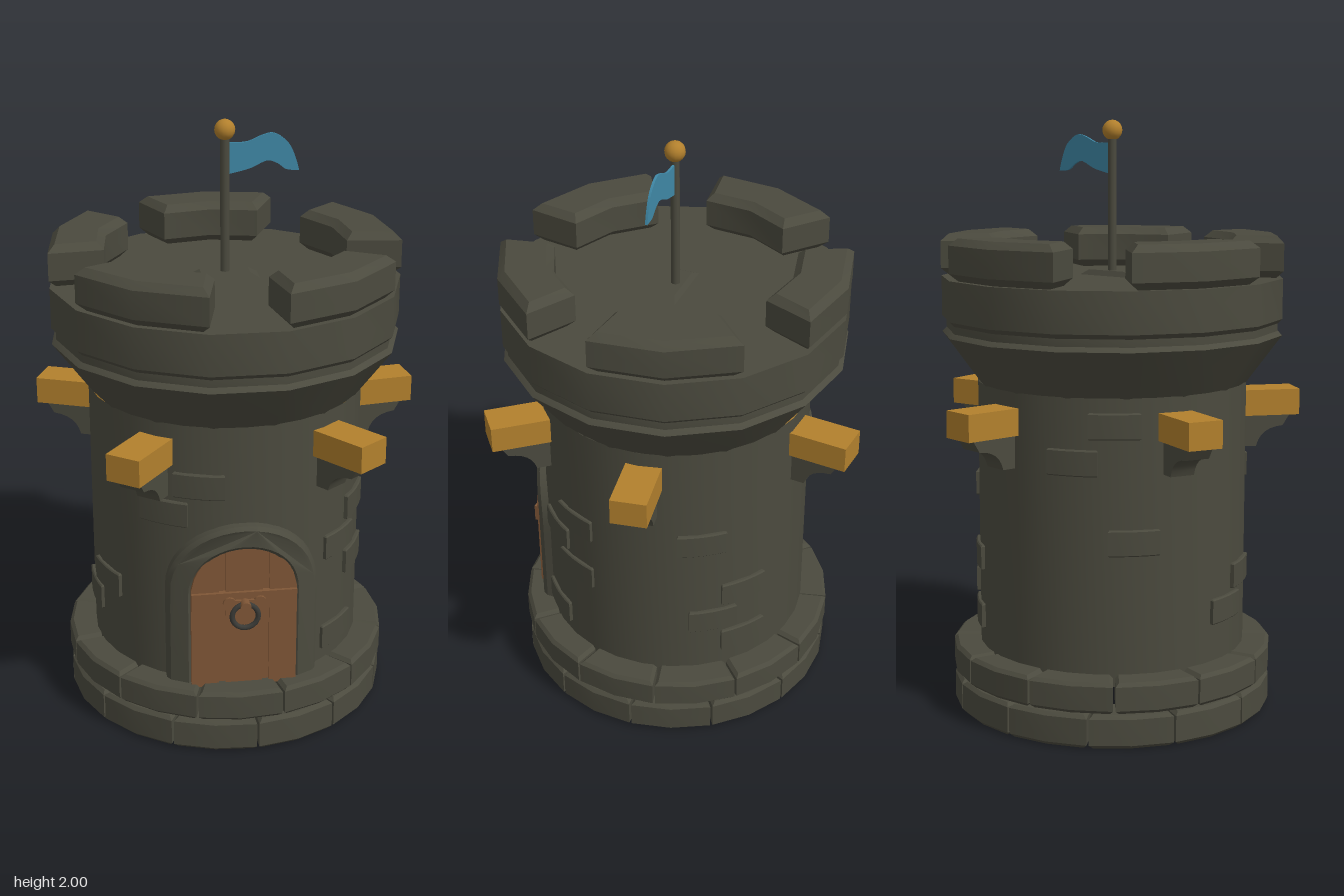
import * as THREE from 'three';
import { toCreasedNormals } from 'three/addons/utils/BufferGeometryUtils.js';

const DEG = Math.PI / 180;

function material(name, color, side = THREE.FrontSide) {
  const m = new THREE.MeshStandardMaterial({ color, side });
  m.name = name;
  return m;
}

export function createModel() {
  const stone = material('dark stone', 0x4b4a3e, THREE.DoubleSide);
  const gold = material('golden wood', 0xb2802d);
  const wood = material('door wood', 0x7f5636);
  const iron = material('dark iron', 0x3a3a36);
  const cloth = material('blue cloth', 0x3f88a6, THREE.DoubleSide);

  const root = new THREE.Group();
  root.name = 'tower';
  const tower = new THREE.Group();
  tower.name = 'towerParts';
  tower.position.set(-0.015, 0, 0.04);
  root.add(tower);

  const add = (name, geo, mat, parent = tower) => {
    const mesh = new THREE.Mesh(geo, mat);
    mesh.name = name;
    parent.add(mesh);
    return mesh;
  };
  const box = (name, w, h, d, x, y, z, mat, parent) =>
    add(name, new THREE.BoxGeometry(w, h, d), mat, parent).position.set(x, y, z);

  // Bevelled curved block; angles in degrees run from the front (+z) towards +x
  const arcBlock = (name, r0, r1, y0, y1, a0, a1, segs, bevel) => {
    const pts = [];
    const point = (r, a) => pts.push(new THREE.Vector2(r * Math.sin(a * DEG), -r * Math.cos(a * DEG)));
    for (let i = 0; i <= segs; i++) point(r1, a0 + (a1 - a0) * i / segs);
    for (let i = segs; i >= 0; i--) point(r0, a0 + (a1 - a0) * i / segs);
    const geo = new THREE.ExtrudeGeometry(new THREE.Shape(pts), {
      depth: y1 - y0 - 2 * bevel, bevelEnabled: true, bevelSegments: 1,
      bevelThickness: bevel, bevelSize: bevel, bevelOffset: -bevel,
    });
    geo.rotateX(-Math.PI / 2).translate(0, y0 + bevel, 0);
    return add(name, toCreasedNormals(geo, 0.5), stone);
  };

  // Round wall
  const lathe = (name, profile, sides) => add(name, toCreasedNormals(
    new THREE.LatheGeometry(profile.map(p => new THREE.Vector2(...p)), sides, Math.PI), 0.5), stone);
  lathe('wall', [[0.46, 0.18], [0.46, 1.13]], 30);

  // Flared head with groove, rim and roof floor
  lathe('head', [[0.455, 1.12], [0.58, 1.29], [0.565, 1.305], [0.565, 1.33],
    [0.58, 1.345], [0.58, 1.48], [0.001, 1.48]], 15);

  // Two courses of foundation blocks
  for (let i = 0; i < 12; i++) {
    const lower = 4 + i * 30, upper = 13 + i * 30;
    arcBlock('lowerFoundationBlock', 0.42, 0.55, 0, 0.112, lower + 0.4, lower + 29.6, 2, 0.012);
    arcBlock('upperFoundationBlock', 0.42, 0.553, 0.118, 0.222, upper + 0.4, upper + 29.6, 2, 0.012);
  }

  // Battlements
  for (let i = 0; i < 5; i++) {
    const a = 180 + i * 72;
    arcBlock('merlon', 0.40, 0.582, 1.48, 1.62, a - 24, a + 24, 2, 0.024);
  }

  // Raised wall bricks: angle, centre height
  const bricks = [[63, 0.745], [48, 0.643], [63, 0.543], [47, 0.308], [122, 0.76], [141, 0.53],
    [127, 0.428], [141, 0.325], [-18, 0.925], [-33, 0.822], [-67, 0.49], [-82, 0.392],
    [-137, 1.04], [-154, 0.92], [-129, 0.66]];
  for (const [a, y] of bricks)
    arcBlock('wallBrick', 0.43, 0.471, y - 0.043, y + 0.043, a - 10.5, a + 10.5, 4, 0.004);

  // Beam ends on curved stone brackets
  const profile = new THREE.Shape();
  profile.moveTo(0.43, 0.99);
  profile.lineTo(0.43, 0.88);
  profile.lineTo(0.505, 0.88);
  profile.quadraticCurveTo(0.52, 0.945, 0.6, 0.95);
  profile.lineTo(0.625, 0.99);
  const bracketGeo = toCreasedNormals(new THREE.ExtrudeGeometry(profile,
    { depth: 0.085, bevelEnabled: false, curveSegments: 6 }).translate(0, 0, -0.0425), 0.5);
  bracketGeo.rotateY(-Math.PI / 2);
  for (const a of [38, 98.2, 173.4, -111.6, -36.3]) {
    const support = new THREE.Group();
    support.name = 'beamSupport';
    support.rotation.y = a * DEG;
    tower.add(support);
    box('beamEnd', 0.12, 0.09, 0.234, 0, 1.035, 0.537, gold, support);
    add('bracket', bracketGeo, stone, support);
  }

  // Door frame, an arch wrapped onto the wall
  const legSteps = 6, arcSteps = 20, springY = 0.55;
  const archOutline = (r) => {
    const pts = [];
    for (let i = 0; i < legSteps; i++) pts.push(new THREE.Vector2(r, 0.21 + (springY - 0.21) * i / legSteps));
    for (let i = 0; i <= arcSteps; i++) {
      const t = Math.PI * i / arcSteps;
      pts.push(new THREE.Vector2(r * Math.cos(t), springY + r * Math.sin(t)));
    }
    for (let i = legSteps - 1; i >= 0; i--) pts.push(new THREE.Vector2(-r, 0.21 + (springY - 0.21) * i / legSteps));
    return pts;
  };
  const frameGeo = new THREE.ExtrudeGeometry(
    new THREE.Shape([...archOutline(0.25), ...archOutline(0.17).reverse()]), {
      depth: 0.05, bevelEnabled: true, bevelSegments: 1,
      bevelThickness: 0.012, bevelSize: 0.012, bevelOffset: -0.012,
    });
  const pos = frameGeo.attributes.position;
  for (let i = 0; i < pos.count; i++) {
    const x = pos.getX(i);
    pos.setZ(i, Math.sqrt(0.46 * 0.46 - x * x) + pos.getZ(i) - 0.024);
  }
  add('doorFrame', toCreasedNormals(frameGeo, 0.5), stone);

  // Door planks cut to the arch, with recessed strips between
  const plank = (name, x0, x1, front) => {
    const pts = [new THREE.Vector2(x0, 0.21), new THREE.Vector2(x1, 0.21)];
    for (let i = 0; i <= 8; i++) {
      const x = x1 + (x0 - x1) * i / 8;
      pts.push(new THREE.Vector2(x, springY + Math.sqrt(Math.max(0, 0.175 * 0.175 - x * x))));
    }
    const geo = new THREE.ExtrudeGeometry(new THREE.Shape(pts), { depth: 0.05, bevelEnabled: false });
    add(name, geo.translate(0, 0, front - 0.05), wood);
  };
  plank('doorPlank', -0.174, -0.083, 0.472);
  plank('doorPlank', -0.061, 0.061, 0.472);
  plank('doorPlank', 0.083, 0.174, 0.472);
  plank('doorBacking', -0.174, 0.174, 0.463);
  box('doorCrossbar', 0.345, 0.062, 0.03, 0, 0.53, 0.468, wood);

  // Handle plate, knob and pull ring
  box('handlePlate', 0.10, 0.022, 0.012, 0, 0.525, 0.486, wood);
  for (const s of [-1, 1]) {
    const lobe = add('handlePlateLobe', new THREE.CylinderGeometry(0.022, 0.022, 0.012, 12), wood);
    lobe.rotation.x = Math.PI / 2;
    lobe.position.set(s * 0.05, 0.525, 0.486);
  }
  const knob = add('handleKnob', new THREE.CylinderGeometry(0.018, 0.018, 0.036, 10), wood);
  knob.rotation.x = Math.PI / 2;
  knob.position.set(0, 0.522, 0.5);
  add('handleRing', new THREE.TorusGeometry(0.043, 0.009, 8, 20), iron).position.set(0, 0.482, 0.497);

  // Flagpole with foot plate and ball
  const foot = add('flagpoleFoot', new THREE.CylinderGeometry(0.04, 0.057, 0.02, 4, 1)
    .rotateY(Math.PI / 4).scale(2.85, 1, 1).toNonIndexed(), stone);
  foot.geometry.computeVertexNormals();
  foot.position.y = 1.488;
  add('flagpole', new THREE.CylinderGeometry(0.015, 0.015, 0.48, 10), stone).position.y = 1.72;
  add('flagpoleBall', new THREE.SphereGeometry(0.034, 14, 10), gold).position.y = 1.966;

  // Waving pennant
  const v = (x, y) => new THREE.Vector2(x, y);
  const flag = new THREE.Shape();
  flag.moveTo(0.012, 1.822);
  flag.lineTo(0.012, 1.925);
  flag.splineThru([v(0.07, 1.925), v(0.12, 1.945), v(0.16, 1.951), v(0.205, 1.92), v(0.228, 1.875), v(0.242, 1.828)]);
  flag.splineThru([v(0.2, 1.832), v(0.17, 1.853), v(0.135, 1.862), v(0.08, 1.838), v(0.012, 1.822)]);
  add('pennant', new THREE.ExtrudeGeometry(flag, { depth: 0.008, bevelEnabled: false, curveSegments: 3 })
    .translate(0, 0, -0.004), cloth);

  return root;
}
